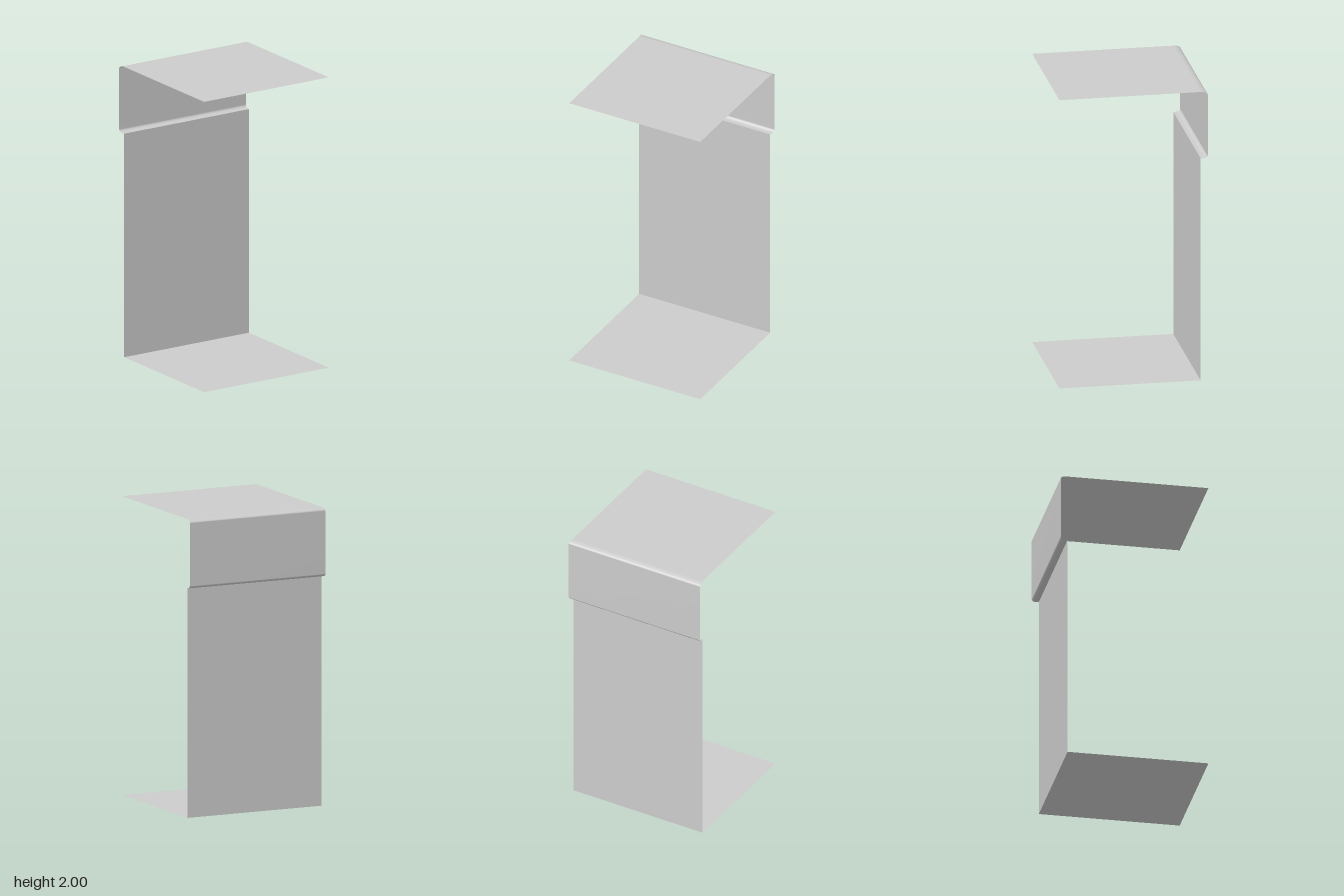
import * as THREE from 'three';

const FRONT = 0.495, WALL = -0.45, BACK = -0.497, TOP = 2, LEDGE = 1.54;

// The sheet widens slightly where it bulges out behind the wall.
const halfWidth = (z) => 0.494 + 0.008 * Math.max(0, (WALL - z) / (WALL - BACK));

// Sweeps a side profile of [z, y] points across the width, outer side facing out.
function sheet(name, profile, material) {
  const pos = [], index = [];
  profile.forEach(([z, y], i) => {
    const w = halfWidth(z);
    pos.push(-w, y, z, w, y, z);
    if (i > 0) {
      const a = 2 * (i - 1);
      index.push(a, a + 1, a + 3, a, a + 3, a + 2);
    }
  });
  const geo = new THREE.BufferGeometry();
  geo.setAttribute('position', new THREE.Float32BufferAttribute(pos, 3));
  geo.setIndex(index);
  geo.computeVertexNormals();
  const mesh = new THREE.Mesh(geo, material);
  mesh.name = name;
  return mesh;
}

// Quarter-ellipse bend between a horizontal and a vertical run.
function bend(cz, cy, rz, ry, from, to, steps = 6) {
  return Array.from({ length: steps + 1 }, (_, i) => {
    const t = from + ((to - from) * i) / steps;
    return [cz + rz * Math.cos(t), cy + ry * Math.sin(t)];
  });
}

export function createModel() {
  const group = new THREE.Group();
  group.name = 'bentSheetStand';
  const material = new THREE.MeshStandardMaterial({ color: 0xcccccc, side: THREE.DoubleSide });
  const r = WALL - BACK;

  // Top shelf, rounded rear edge, back panel and rounded ledge in one smooth sheet
  const hood = [
    [FRONT, TOP],
    ...bend(WALL, TOP - 0.02, r, 0.02, Math.PI / 2, Math.PI),
    ...bend(BACK + 0.03, LEDGE + 0.02, 0.03, 0.02, Math.PI, Math.PI * 1.5),
    [WALL, LEDGE],
  ];
  group.add(sheet('topAndBackPanel', hood, material));

  // Rear wall and floor meet at sharp creases
  group.add(sheet('rearWall', [[WALL, LEDGE], [WALL, 0]], material));
  group.add(sheet('floor', [[WALL, 0], [FRONT, 0]], material));
  return group;
}
